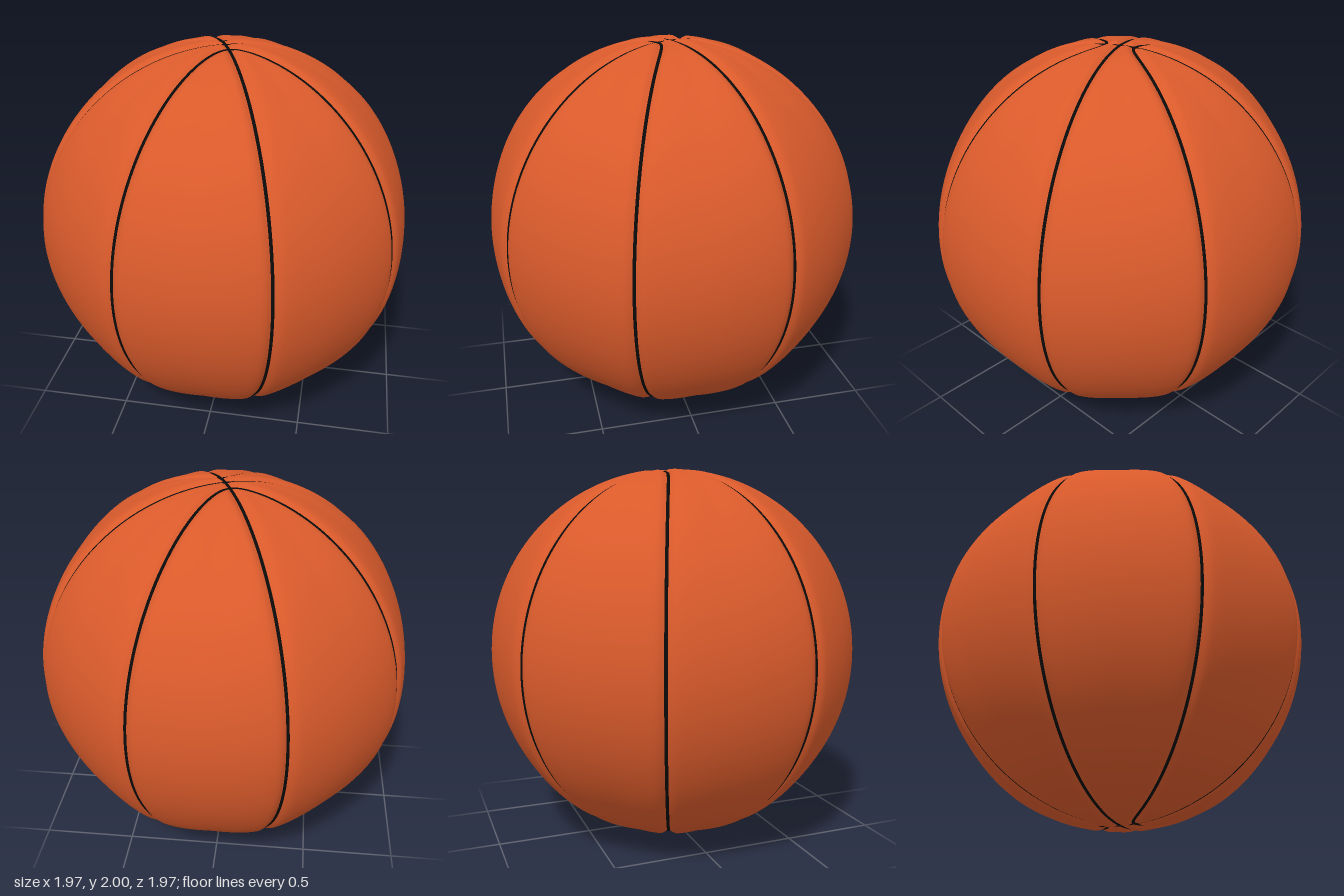
import * as THREE from 'three';
import { mergeVertices } from 'three/addons/utils/BufferGeometryUtils.js';

const K = 0.08;                               // gap between the pole and the bent seam
const C = Math.cos(Math.PI / 8), S = Math.sin(Math.PI / 8);

// seam frame: u and v lie along the two straight seams as seen from above
const toUV = (n) => [-S * n.x - C * n.z, C * n.x - S * n.z];
const fromUV = (u, y, v) => new THREE.Vector3(-S * u + C * v, y, -C * u - S * v);

// distance on the unit sphere to the nearest seam
function seamDistance(n) {
  const [u, v] = toUV(n);
  const dot = 2 * (u * u - v * v);
  const slope = Math.sqrt(Math.max(4 * (u * u + v * v) - dot * dot, 0)) + 1e-4;
  return Math.min(Math.abs(u), Math.abs(v), Math.abs(u * u - v * v - K * K) / slope);
}

// panels swell towards their edges, then drop into a narrow groove
function surface(n, lift = 0) {
  const d = seamDistance(n);
  const r = 0.987 + 0.019 * Math.exp(-((d / 0.2) ** 2)) - 0.02 * Math.exp(-((d / 0.025) ** 2));
  const p = n.clone().multiplyScalar(r + lift);
  p.y = THREE.MathUtils.clamp(p.y, -1, 1);
  return p;
}

// ball skin: sphere grid with columns gathered at the seams and rows at the poles
function skinGeometry() {
  const sectors = 8, cols = 28, rows = 160;
  const geo = new THREE.SphereGeometry(1, sectors * cols, rows);
  const pos = geo.attributes.position;
  const n = new THREE.Vector3();
  for (let i = 0; i < pos.count; i++) {
    const col = i % (sectors * cols + 1), row = Math.floor(i / (sectors * cols + 1));
    const sector = Math.floor(col / cols), s = (col % cols) / cols;
    const phi = Math.PI / 8 + (sector + (1 - Math.cos(Math.PI * s)) / 2) * Math.PI / 4;
    const t = row / rows;
    const theta = Math.PI * (t - 0.7 * Math.sin(2 * Math.PI * t) / (2 * Math.PI));
    n.set(-Math.cos(phi) * Math.sin(theta), Math.cos(theta), Math.sin(phi) * Math.sin(theta));
    const p = surface(n);
    pos.setXYZ(i, p.x, p.y, p.z);
  }
  geo.deleteAttribute('uv');
  geo.deleteAttribute('normal');
  const welded = mergeVertices(geo, 1e-5);
  welded.computeVertexNormals();
  return welded;
}

// closed seam strip following a loop of directions
function seamGeometry(direction) {
  const points = [];
  for (let i = 0; i < 240; i++) {
    points.push(surface(direction((i / 240) * Math.PI * 2).normalize(), -0.003));
  }
  return new THREE.TubeGeometry(new THREE.CatmullRomCurve3(points, true), 480, 0.01, 8, true);
}

export function createModel() {
  const group = new THREE.Group();
  group.name = 'ball';
  const orange = new THREE.MeshStandardMaterial({ color: 0xd95a2b });
  const black = new THREE.MeshStandardMaterial({ color: 0x0a0a0a });
  const add = (name, geo, mat) => {
    const mesh = new THREE.Mesh(geo, mat);
    mesh.name = name;
    mesh.position.y = 1;
    group.add(mesh);
  };

  add('panels', skinGeometry(), orange);

  // two straight seams crossing at the poles
  add('straightSeamA', seamGeometry((t) => fromUV(Math.sin(t), Math.cos(t), 0)), black);
  add('straightSeamB', seamGeometry((t) => fromUV(0, Math.cos(t), Math.sin(t))), black);

  // two bent seams that turn away before the poles
  const w = Math.sqrt(1 - K * K);
  for (const side of [1, -1]) {
    add(side > 0 ? 'backBentSeam' : 'frontBentSeam', seamGeometry((t) => {
      const v = w * Math.SQRT1_2 * Math.sin(t);
      return fromUV(side * Math.hypot(v, K), w * Math.cos(t), v);
    }), black);
  }
  return group;
}
